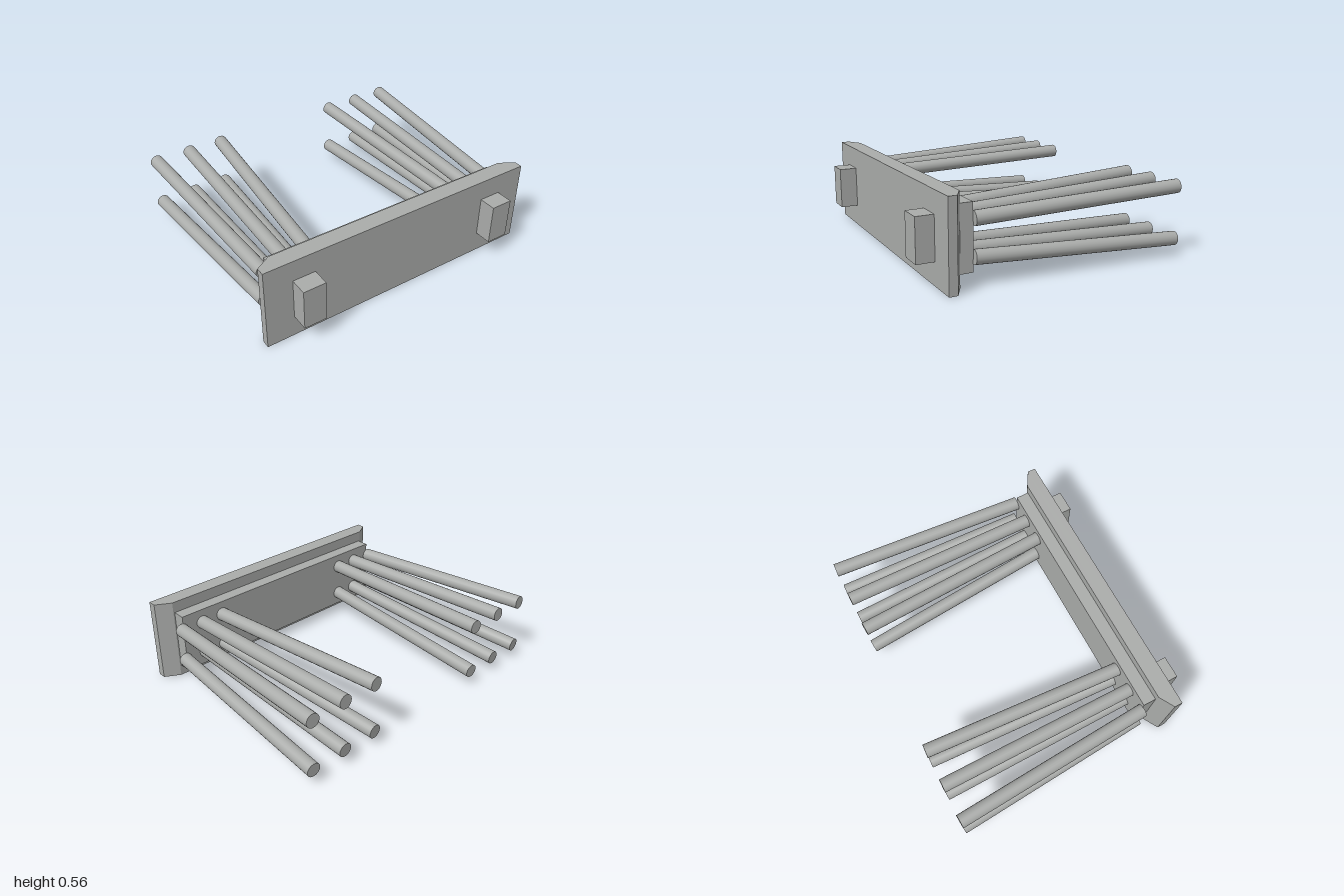
import * as THREE from 'three';

export function createModel() {
  const model = new THREE.Group();
  const grey = new THREE.MeshStandardMaterial({ color: 0xaaacaa });
  grey.name = 'grey';

  const add = (name, geometry) => {
    const mesh = new THREE.Mesh(geometry, grey);
    mesh.name = name;
    model.add(mesh);
    return mesh;
  };

  // Box given by its extents on each axis
  const box = (name, [x0, x1], [y0, y1], [z0, z1]) =>
    add(name, new THREE.BoxGeometry(x1 - x0, y1 - y0, z1 - z0))
      .position.set((x0 + x1) / 2, (y0 + y1) / 2, (z0 + z1) / 2);

  // Front plate: plan outline (x, -z) with bevelled back corners, raised along y
  const outline = [[-0.97, 0.725], [0.97, 0.725], [0.97, 0.67], [0.87, 0.612], [-0.87, 0.612], [-0.97, 0.67]];
  const plan = new THREE.Shape(outline.map(([x, z]) => new THREE.Vector2(x, -z)));
  const plate = new THREE.ExtrudeGeometry(plan, { depth: 0.56, bevelEnabled: false });
  plate.rotateX(-Math.PI / 2);
  add('frontPlate', plate);

  // Raised panel behind the plate
  box('backPanel', [-0.86, 0.86], [0.075, 0.485], [0.525, 0.612]);

  // Rod between two points
  const rod = (name, start, end) => {
    const axis = end.clone().sub(start);
    const mesh = add(name, new THREE.CylinderGeometry(0.045, 0.045, axis.length(), 20));
    mesh.position.copy(start).add(end).multiplyScalar(0.5);
    mesh.quaternion.setFromUnitVectors(new THREE.Vector3(0, 1, 0), axis.normalize());
  };

  for (const side of [-1, 1]) {
    const label = side > 0 ? 'left' : 'right';

    // Block on the front
    const xs = [side * 0.635, side * 0.785].sort((a, b) => a - b);
    box(label + 'Block', xs, [0.145, 0.42], [0.725, 0.84]);

    // Two rows of three rods, splayed outwards towards the back
    for (const row of [-1, 1]) {
      for (const col of [-1, 0, 1]) {
        rod(label + (row > 0 ? 'Upper' : 'Lower') + 'Rod' + (col + 2),
          new THREE.Vector3(side * (0.71 + col * 0.16), 0.281 + row * 0.112, 0.526),
          new THREE.Vector3(side * (0.71 + col * 0.244), 0.281 + row * 0.169, -0.838));
      }
    }
  }
  return model;
}
